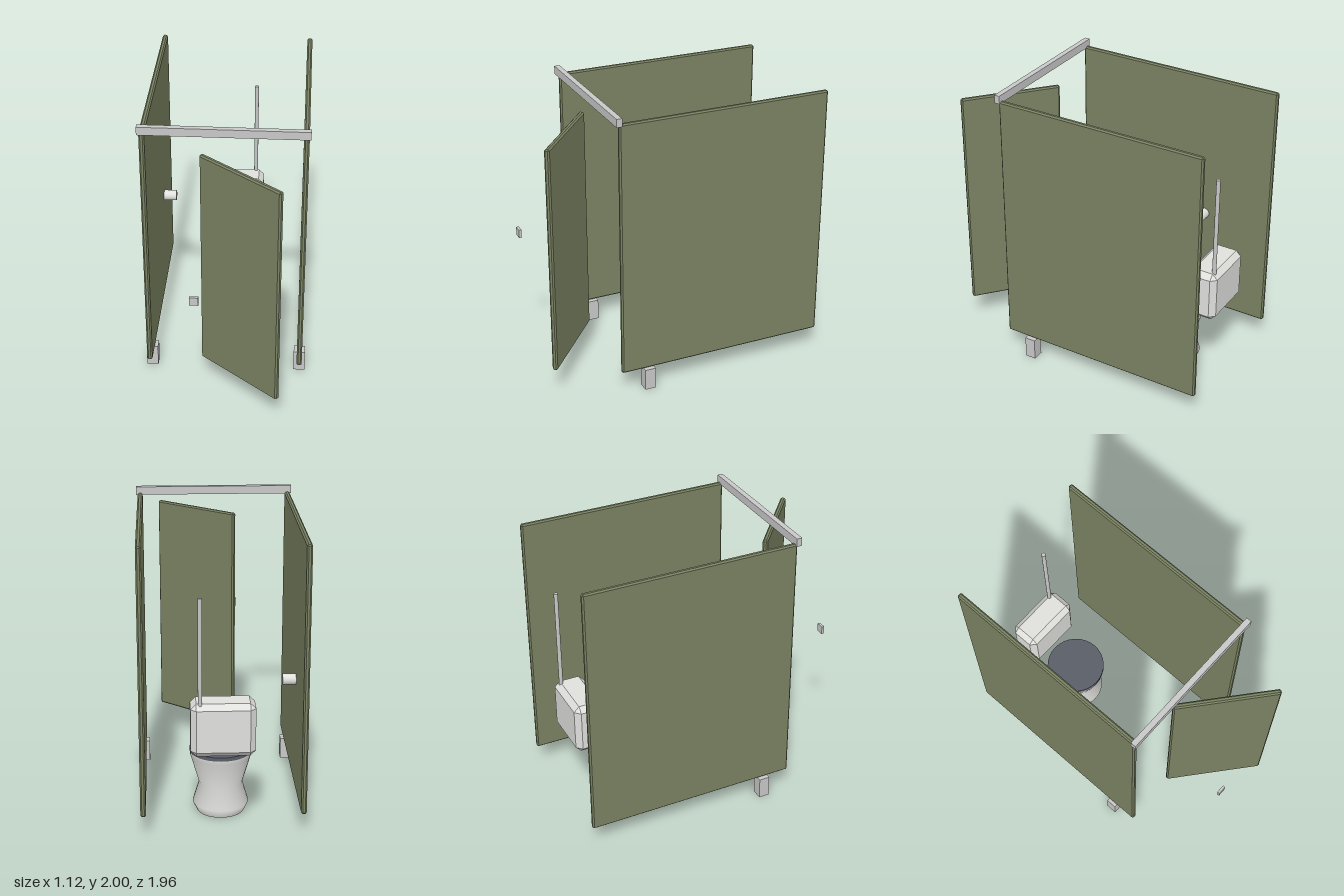
import * as THREE from 'three';
import { ConvexGeometry } from 'three/addons/geometries/ConvexGeometry.js';

const material = (name, color, side = THREE.FrontSide) => {
  const m = new THREE.MeshStandardMaterial({ color, side });
  m.name = name;
  return m;
};

// Box with flat chamfers along every edge, and triangular corners
function chamferBox(w, h, d, c) {
  const points = [];
  for (const sx of [-1, 1]) for (const sy of [-1, 1]) for (const sz of [-1, 1]) {
    for (const axis of [0, 1, 2]) {
      const inset = [c, c, c];
      inset[axis] = 0;
      points.push(new THREE.Vector3(
        sx * (w / 2 - inset[0]), sy * (h / 2 - inset[1]), sz * (d / 2 - inset[2])));
    }
  }
  return new ConvexGeometry(points);
}

export function createModel() {
  const group = new THREE.Group();
  group.name = 'toiletCubicle';

  const olive = material('olivePanel', 0x7a8262);
  const metal = material('greyMetal', 0xc8c8c8);
  const porcelain = material('porcelain', 0xe0e0dd);
  const dark = material('darkSeat', 0x5a5e68);

  const add = (name, geometry, mat, x, y, z) => {
    const mesh = new THREE.Mesh(geometry, mat);
    mesh.name = name;
    mesh.position.set(x, y, z);
    group.add(mesh);
    return mesh;
  };

  // Side partitions, each on one front foot
  for (const [side, s] of [['left', 1], ['right', -1]]) {
    add(side + 'Partition', chamferBox(0.036, 1.8, 1.495, 0.01), olive, s * 0.52, 1.055, -0.233);
    add(side + 'Foot', new THREE.BoxGeometry(0.08, 0.153, 0.076), metal, s * 0.52, 0.0765, 0.319);
  }

  // Rail across the front, joining the partitions
  add('topRail', new THREE.BoxGeometry(1.096, 0.056, 0.038), metal, 0, 1.972, 0.518);

  // Door standing open, and its latch
  const door = add('door', chamferBox(0.694, 1.6, 0.036, 0.01), olive, 0.118, 1.004, 0.72);
  door.rotation.y = THREE.MathUtils.degToRad(-40);
  add('latch', new THREE.BoxGeometry(0.058, 0.058, 0.018), metal, -0.161, 1.0, 0.971);

  // Toilet bowl: flared base, narrow waist, wide rim
  const profile = [
    [0.16, 0], [0.188, 0.06], [0.146, 0.2], [0.205, 0.405], [0.207, 0.435],
  ].map(([r, y]) => new THREE.Vector2(r, y));
  add('bowl', new THREE.LatheGeometry(profile, 32), porcelain, 0, 0, -0.53);
  const base = add('bowlBase', new THREE.CircleGeometry(0.16, 32), porcelain, 0, 0, -0.53);
  base.rotation.x = Math.PI / 2;
  add('seat', new THREE.CylinderGeometry(0.208, 0.208, 0.026, 32), dark, 0, 0.443, -0.53);

  // Cistern with its supply pipe
  add('cistern', chamferBox(0.42, 0.36, 0.212, 0.037), porcelain, 0, 0.722, -0.83);
  add('supplyPipe', new THREE.CylinderGeometry(0.014, 0.014, 0.72, 16), metal, 0.148, 1.24, -0.898);

  // Paper roll on the right partition
  const roll = add('paperRoll', new THREE.CylinderGeometry(0.037, 0.037, 0.095, 24), porcelain,
    -0.46, 0.905, -0.481);
  roll.rotation.z = Math.PI / 2;

  return group;
}
